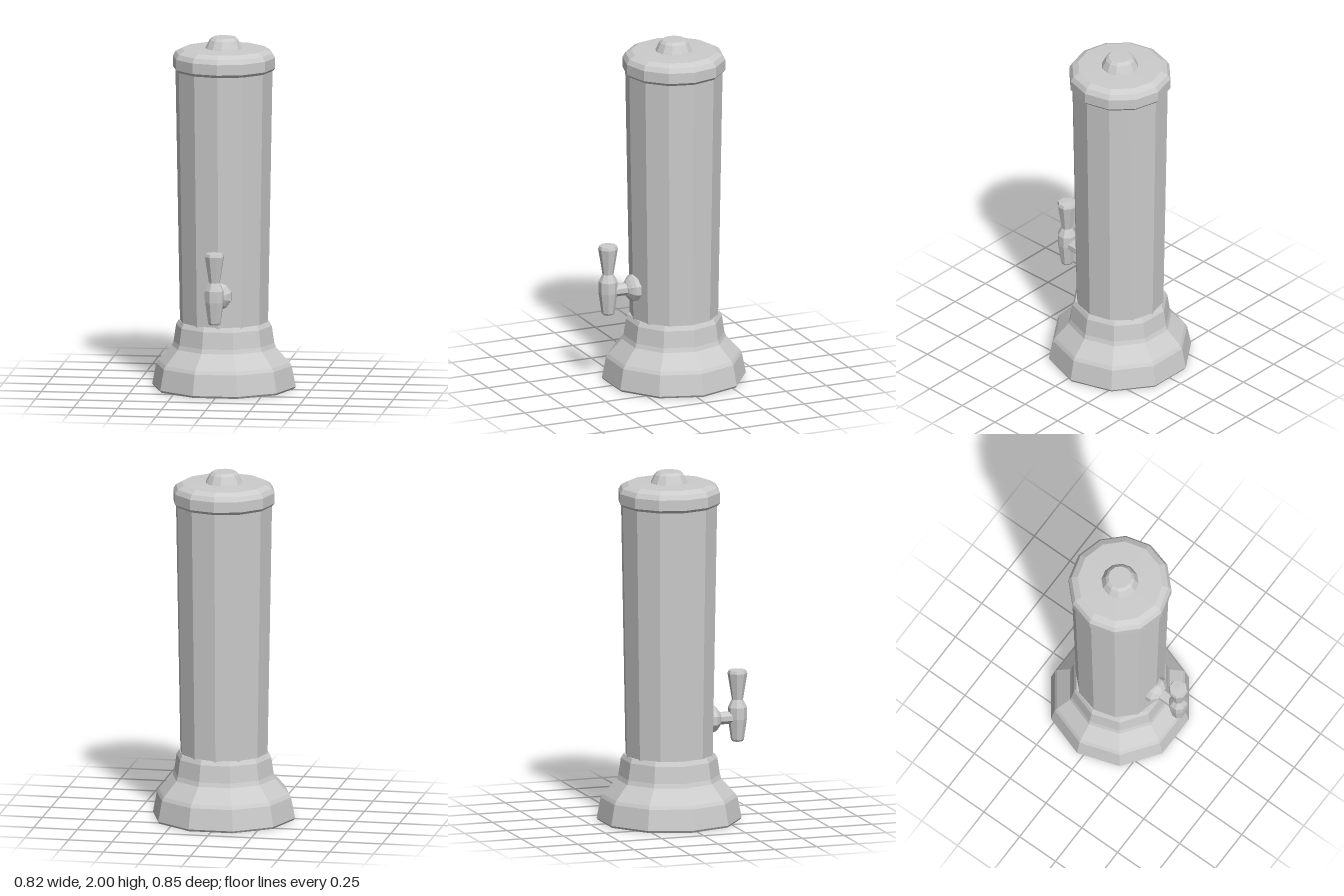
import * as THREE from 'three';

const AXIS_Z = -0.034; // centre line of the urn
const TAP_Z = 0.373; // centre line of the tap

export function createModel() {
  const model = new THREE.Group();
  const metal = new THREE.MeshStandardMaterial({ color: 0xcccccc, flatShading: true });
  metal.name = 'pale grey metal';

  // Turned part: profile is [radius, height] from bottom to top
  function turned(name, profile, sides, z, start = Math.PI / 2, parent = model) {
    const points = profile.map(([r, y]) => new THREE.Vector2(r, y));
    const mesh = new THREE.Mesh(new THREE.LatheGeometry(points, sides, start), metal);
    mesh.name = name;
    mesh.position.z = z;
    parent.add(mesh);
    return mesh;
  }

  // Ten-sided flared foot
  turned('base', [
    [0, 0], [0.4, 0], [0.408, 0.012], [0.385, 0.13], [0.373, 0.15],
    [0.295, 0.235], [0.286, 0.26], [0.272, 0.355], [0.258, 0.38], [0, 0.38],
  ], 10, AXIS_Z);

  // Twelve-sided tank, slightly wider at the top
  turned('tank', [[0, 0.36], [0.25, 0.36], [0.276, 1.83], [0, 1.83]], 12, AXIS_Z);

  // Lid with a rounded rim
  turned('lid', [
    [0, 1.81], [0.274, 1.81], [0.291, 1.828], [0.291, 1.888],
    [0.275, 1.915], [0.24, 1.934], [0, 1.94],
  ], 12, AXIS_Z);
  turned('lidKnob', [
    [0, 1.93], [0.108, 1.93], [0.1, 1.948], [0.082, 1.985], [0.066, 2], [0, 2],
  ], 12, AXIS_Z);

  // Tap: flange and pipe point forwards, spout and handle stand upright
  const tap = new THREE.Group();
  tap.name = 'tap';
  model.add(tap);
  const flange = turned('tapFlange', [
    [0, 0], [0.08, 0], [0.078, 0.05], [0.062, 0.068], [0.04, 0.085], [0, 0.085],
  ], 10, 0.18, 0, tap);
  const pipe = turned('tapPipe', [[0, 0], [0.036, 0], [0.036, 0.12], [0, 0.12]], 8, 0.25, Math.PI / 8, tap);
  for (const part of [flange, pipe]) {
    part.rotation.x = Math.PI / 2;
    part.position.y = 0.562;
  }
  turned('tapSpout', [
    [0, 0.425], [0.03, 0.425], [0.037, 0.437], [0.054, 0.555],
    [0.054, 0.62], [0.032, 0.665], [0, 0.67],
  ], 8, TAP_Z, Math.PI / 8, tap);
  turned('tapHandle', [
    [0, 0.655], [0.03, 0.655], [0.034, 0.68], [0.056, 0.815], [0.05, 0.832], [0, 0.835],
  ], 8, TAP_Z, Math.PI / 8, tap);

  return model;
}
